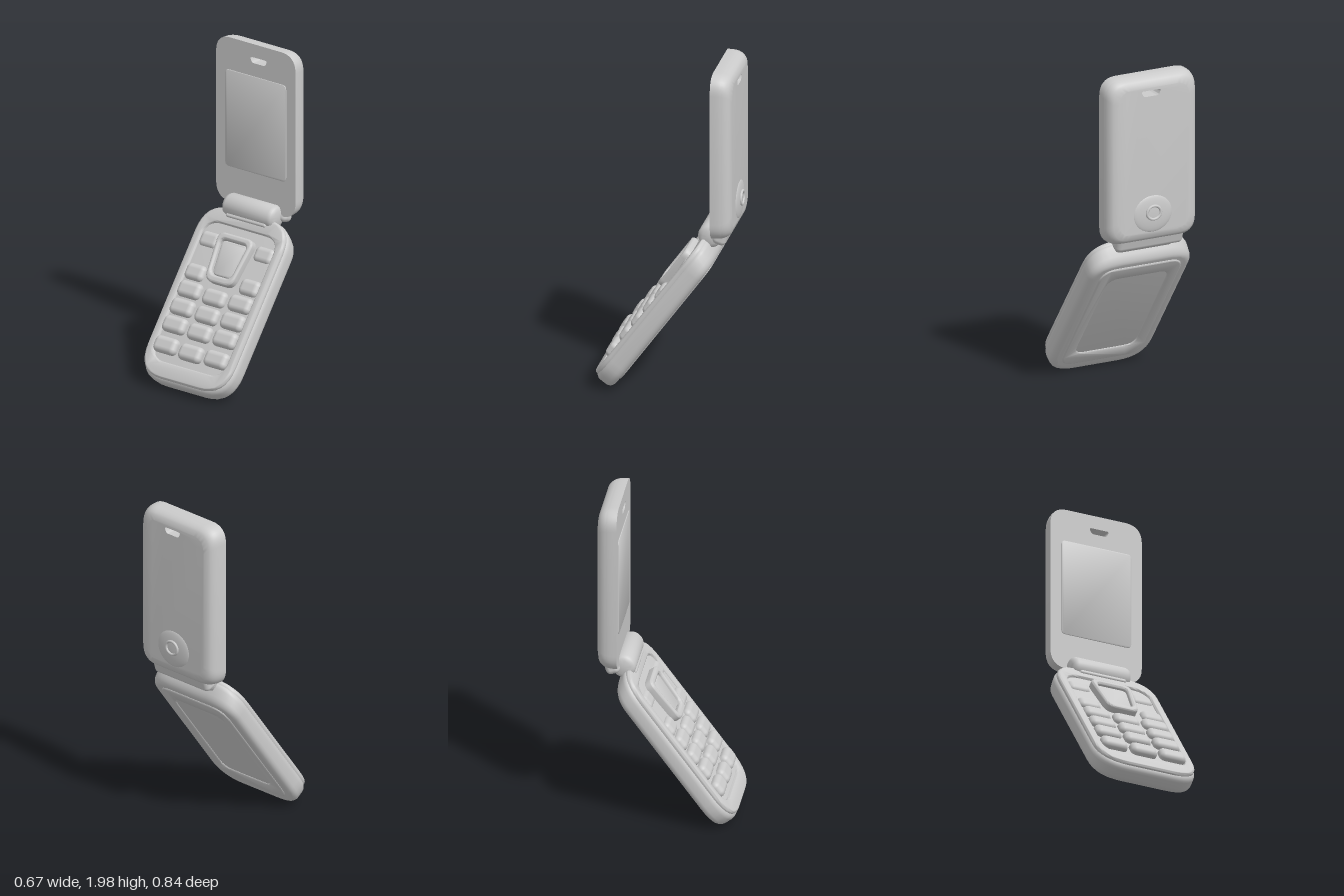
import * as THREE from 'three';
import { toCreasedNormals } from 'three/addons/utils/BufferGeometryUtils.js';
import { RoundedBoxGeometry } from 'three/addons/geometries/RoundedBoxGeometry.js';

const material = new THREE.MeshStandardMaterial({ color: 0xcccccc, roughness: 0.7 });

function add(parent, name, geometry, x = 0, y = 0, z = 0) {
  const mesh = new THREE.Mesh(geometry, material);
  mesh.name = name;
  mesh.position.set(x, y, z);
  parent.add(mesh);
  return mesh;
}

// Rounded outline whose bottom edge may be narrower than its top
function outline(topHalf, bottomHalf, y0, y1, r, cx = 0, Type = THREE.Shape) {
  const corners = [[-bottomHalf, y0], [bottomHalf, y0], [topHalf, y1], [-topHalf, y1]]
    .map(([x, y]) => new THREE.Vector2(cx + x, y));
  const s = new Type();
  corners.forEach((c, i) => {
    const toward = (p) => p.clone().sub(c).setLength(r).add(c);
    const a = toward(corners[(i + 3) % 4]), b = toward(corners[(i + 1) % 4]);
    if (i === 0) s.moveTo(a.x, a.y); else s.lineTo(a.x, a.y);
    s.quadraticCurveTo(c.x, c.y, b.x, b.y);
  });
  s.closePath();
  return s;
}

// Bevelled slab between two depths; the outline is its full size
function slab(shape, back, front, bevel, rule) {
  const g = new THREE.ExtrudeGeometry(shape, {
    depth: front - back - 2 * bevel, curveSegments: 8, steps: 1,
    bevelSize: bevel, bevelThickness: bevel, bevelOffset: -bevel, bevelSegments: 5,
  });
  g.translate(0, 0, back + bevel);
  if (rule) bend(g, rule);
  return toCreasedNormals(g, 0.8);
}

function bend(g, rule) {
  const p = g.attributes.position, v = new THREE.Vector3();
  for (let i = 0; i < p.count; i++) {
    rule(v.fromBufferAttribute(p, i));
    p.setXYZ(i, v.x, v.y, v.z);
  }
}

// Flat-fronted lid with a domed back and a strap slot through it
function lidGeometry() {
  const shape = outline(0.3, 0.3, 0.98, 2, 0.11);
  shape.holes.push(outline(0.065, 0.05, 1.882, 1.918, 0.015, 0.02, THREE.Path));
  const depth = 0.12, mid = 1.49, inset = 0.065;
  const g = new THREE.ExtrudeGeometry(shape, { depth, steps: 14, bevelEnabled: false, curveSegments: 10 });
  g.translate(0, 0, -0.4);
  bend(g, (v) => {
    const inSlot = Math.abs(v.x - 0.02) < 0.08 && Math.abs(v.y - 1.9) < 0.03;
    if (inSlot) return;
    const t = Math.min(1, Math.max(0, (-0.28 - v.z) / depth));
    const d = inset * (1 - Math.sqrt(1 - t ** 3));
    v.x *= 1 - d / 0.3;
    v.y = mid + (v.y - mid) * (1 - d / 0.51);
  });
  return toCreasedNormals(g, 0.9);
}

function createLid() {
  const lid = new THREE.Group();
  lid.name = 'lid';
  add(lid, 'lidShell', lidGeometry());
  add(lid, 'screen', slab(outline(0.23, 0.23, 1.2, 1.8, 0.03), -0.285, -0.276, 0.002));

  // Low camera mound with a lens on the back
  const mound = add(lid, 'cameraMound', new THREE.SphereGeometry(1, 32, 16), 0.01, 1.16, -0.395);
  mound.scale.set(0.13, 0.115, 0.02);
  const lens = add(lid, 'cameraLens', new THREE.TorusGeometry(0.045, 0.009, 10, 28), 0.01, 1.17, -0.414);
  lens.scale.y = 0.9;
  return lid;
}

function createBase() {
  const base = new THREE.Group();
  base.name = 'base';
  base.position.set(0, 0.08, 0.43);
  base.rotation.x = -THREE.MathUtils.degToRad(36.5);

  // The hinge end slopes in toward the back
  const slope = (v) => {
    if (v.y > 0.9) v.y -= 0.07 * Math.min(1, Math.max(0, -v.z / 0.13)) * (v.y - 0.9) / 0.22;
  };
  const bodyOutline = () => outline(0.335, 0.335, 0, 1.12, 0.19);
  add(base, 'body', slab(bodyOutline(), -0.13, -0.008, 0.04, slope));

  // Raised rims around the keypad and the back panel
  const rim = outline(0.325, 0.325, 0.02, 1.1, 0.18);
  rim.holes.push(outline(0.27, 0.27, 0.12, 1.0, 0.1, 0, THREE.Path));
  add(base, 'keypadRim', slab(rim, -0.03, 0.008, 0.015));
  const backRim = outline(0.27, 0.27, 0.08, 1.0, 0.1);
  backRim.holes.push(outline(0.2, 0.2, 0.18, 0.9, 0.07, 0, THREE.Path));
  add(base, 'backRim', slab(backRim, -0.138, -0.115, 0.009));

  // Number keys: four rows of three, plus call keys beside the pad
  const key = (name, x, y, w, h, lift) =>
    add(base, name, new RoundedBoxGeometry(w, h, 0.07, 4, 0.032), x, y, lift - 0.035);
  [0.215, 0.345, 0.457, 0.57].forEach((y, row) => {
    for (const col of [-1, 0, 1]) {
      key('numberKey', col * 0.19, y - (col ? 0 : 0.006), 0.165, 0.1, 0.036 - row * 0.003);
    }
  });
  for (const side of [-1, 1]) {
    key('callKey', side * 0.205, 0.68, 0.14, 0.1, 0.02);
    key('softKey', side * 0.205, 0.89, 0.14, 0.1, 0.008);
  }

  // Navigation pad: tapered ring around a sunken centre button
  const ring = outline(0.135, 0.1, 0.645, 0.95, 0.055);
  ring.holes.push(outline(0.1, 0.075, 0.69, 0.91, 0.035, 0, THREE.Path));
  add(base, 'navigationRing', slab(ring, -0.03, 0.04, 0.014));
  add(base, 'navigationButton', slab(outline(0.098, 0.073, 0.693, 0.907, 0.035), -0.03, 0.022, 0.01));

  // Earpiece bar below the hinge
  add(base, 'earpiece', new RoundedBoxGeometry(0.3, 0.03, 0.03, 3, 0.012), 0, 1.06, 0.004);
  return base;
}

function createHinge() {
  const hinge = new THREE.Group();
  hinge.name = 'hinge';
  // Barrel with rounded ends
  const r = 0.072, half = 0.19, e = 0.03;
  const profile = [[0, -half], [r - e, -half], [r - 0.008, -half + 0.01], [r, -half + e],
    [r, half - e], [r - 0.008, half - 0.01], [r - e, half], [0, half]]
    .map(([x, y]) => new THREE.Vector2(x, y));
  const barrel = toCreasedNormals(new THREE.LatheGeometry(profile, 32), 0.8);
  barrel.rotateZ(Math.PI / 2);
  add(hinge, 'hingeBarrel', barrel, 0, 0.975, -0.255);
  // Knuckle joining the barrel to the lid
  const knuckle = add(hinge, 'hingeKnuckle', new RoundedBoxGeometry(0.44, 0.12, 0.085, 4, 0.03), 0, 0.995, -0.325);
  knuckle.rotation.x = -0.3;
  return hinge;
}

export function createModel() {
  const phone = new THREE.Group();
  phone.name = 'flipPhone';
  phone.add(createLid(), createBase(), createHinge());
  return phone;
}
